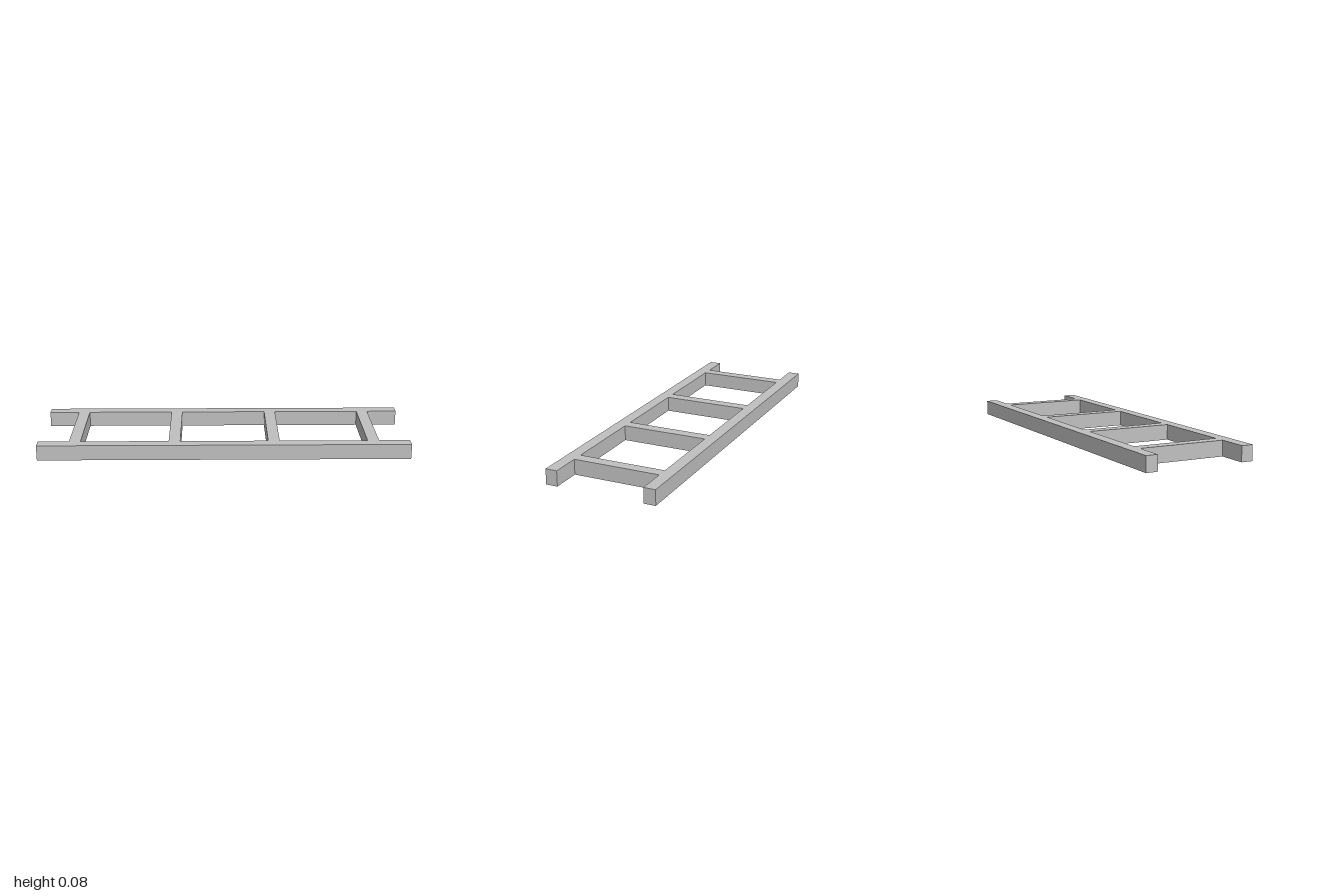
import * as THREE from 'three';

export function createModel() {
  const group = new THREE.Group();
  group.name = 'ladderFrame';

  const grey = new THREE.MeshStandardMaterial({ color: 0xc0c0c0 });
  grey.name = 'light grey';

  const height = 0.083;
  const outerZ = 0.301;
  const innerZ = 0.237;

  function addBeam(name, width, depth, x, z) {
    const beam = new THREE.Mesh(new THREE.BoxGeometry(width, height, depth), grey);
    beam.name = name;
    beam.position.set(x, height / 2, z);
    group.add(beam);
  }

  // Two long side rails
  const railZ = (outerZ + innerZ) / 2;
  addBeam('frontRail', 2, outerZ - innerZ, 0, railZ);
  addBeam('backRail', 2, outerZ - innerZ, 0, -railZ);

  // Four evenly spaced rungs, flush with the rails above and below
  const spacing = 0.535;
  for (let i = 0; i < 4; i++) {
    addBeam(`rung${i + 1}`, 0.062, innerZ * 2, (i - 1.5) * spacing, 0);
  }

  return group;
}
